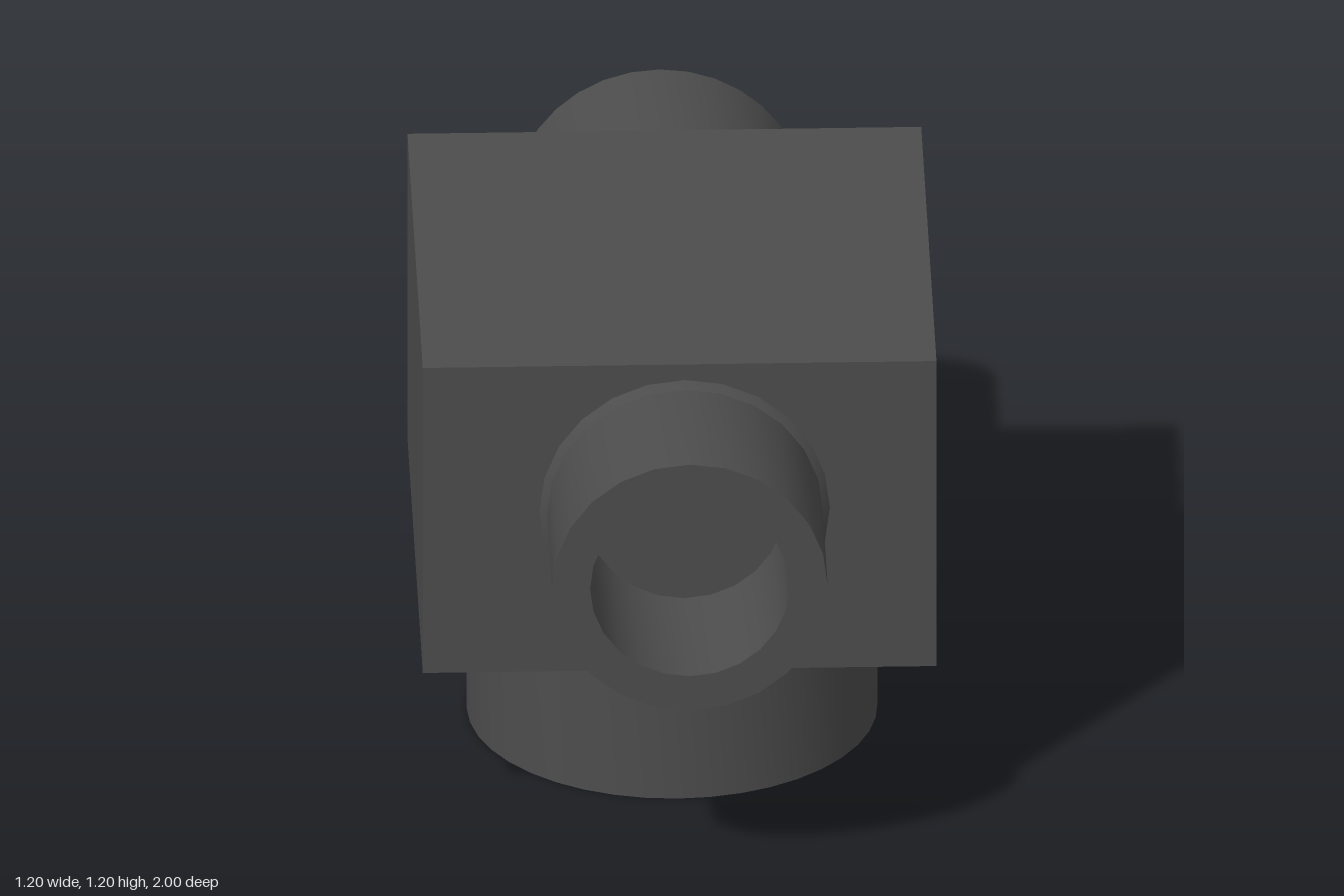
import * as THREE from 'three';
import { toCreasedNormals } from 'three/addons/utils/BufferGeometryUtils.js';

export function createModel() {
  const group = new THREE.Group();
  const darkGrey = new THREE.MeshStandardMaterial({ color: 0x4d4d4d });
  darkGrey.name = 'darkGrey';

  // Central block
  const block = new THREE.Mesh(new THREE.BoxGeometry(1.2, 0.8, 1.2), darkGrey);
  block.name = 'block';
  block.position.y = 0.8;
  group.add(block);

  // Hollow pipe stub with a small chamfered collar where it meets the block;
  // the bore ends at the block face
  function addPipe(name, radius, bore, collar, segments, position, rotationX) {
    const length = 0.4;
    const profile = [
      [radius + collar, 0],
      [radius, collar],
      [radius, length],
      [bore, length],
      [bore, 0],
    ].map(([r, y]) => new THREE.Vector2(r, y));
    const geometry = toCreasedNormals(new THREE.LatheGeometry(profile, segments), 0.5);
    const pipe = new THREE.Mesh(geometry, darkGrey);
    pipe.name = name;
    pipe.position.set(...position);
    pipe.rotation.x = rotationX;
    group.add(pipe);
  }

  addPipe('frontPipe', 0.322, 0.233, 0.017, 24, [0.012, 0.82, 0.6], Math.PI / 2);
  addPipe('backPipe', 0.34, 0.24, 0.04, 32, [0, 0.815, -0.6], -Math.PI / 2);
  addPipe('bottomPipe', 0.48, 0.445, 0.04, 40, [0, 0.4, 0], Math.PI);

  return group;
}
